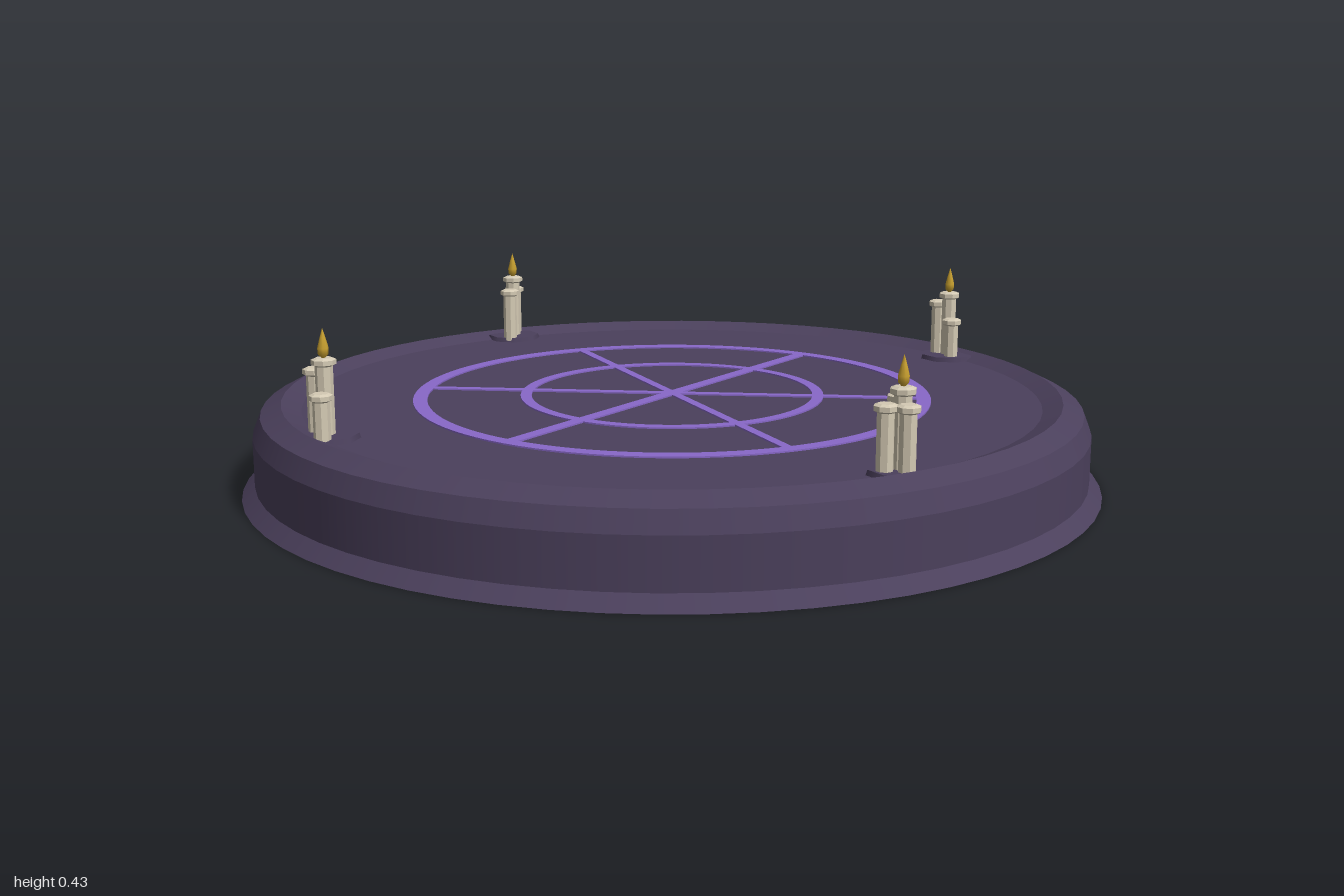
import * as THREE from 'three';

const FLOOR = 0.19;

const mat = (name, color, side = THREE.FrontSide) => {
  const m = new THREE.MeshStandardMaterial({ color, side });
  m.name = name;
  return m;
};

export function createModel() {
  const model = new THREE.Group();
  model.name = 'ritualDais';
  const stone = mat('dark purple stone', 0x4b405c, THREE.DoubleSide);
  const rune = mat('violet rune', 0x8868c8);
  const wax = mat('candle wax', 0xd4cab4);
  const fire = mat('golden flame', 0xc8a030);

  const add = (parent, name, geometry, material, x = 0, y = 0, z = 0) => {
    const mesh = new THREE.Mesh(geometry, material);
    mesh.name = name;
    mesh.position.set(x, y, z);
    parent.add(mesh);
    return mesh;
  };

  // Hollow dais, one lathe per band so the edges between them stay sharp
  const bands = {
    flaredFoot: [[1, 0], [0.97, 0.03]],
    outerWall: [[0.97, 0.03], [0.97, 0.14]],
    upperBevel: [[0.97, 0.14], [0.952, 0.185]],
    rim: [[0.952, 0.185], [0.905, 0.208]],
    innerSlope: [[0.905, 0.208], [0.86, FLOOR]],
    floor: [[0.86, FLOOR], [0, FLOOR]],
  };
  for (const [name, points] of Object.entries(bands)) {
    const profile = points.map(([r, y]) => new THREE.Vector2(r, y));
    add(model, name, new THREE.LatheGeometry(profile, 64), stone);
  }

  // Inlaid rune circles and spokes, showing through both faces of the floor
  const depth = 0.007;
  const ring = (name, outer, inner) => {
    const shape = new THREE.Shape().absarc(0, 0, outer, 0, Math.PI * 2);
    shape.holes.push(new THREE.Path().absarc(0, 0, inner, 0, Math.PI * 2, true));
    const geometry = new THREE.ExtrudeGeometry(shape, { depth, bevelEnabled: false, curveSegments: 48 });
    geometry.rotateX(-Math.PI / 2);
    add(model, name, geometry, rune, 0, FLOOR - depth / 2, 0);
  };
  ring('outerRuneRing', 0.608, 0.575);
  ring('innerRuneRing', 0.358, 0.332);
  for (let i = 0; i < 3; i++) {
    const geometry = new THREE.BoxGeometry(i ? 0.022 : 0.03, depth, 1.19);
    add(model, 'runeSpoke', geometry, rune, 0, FLOOR, 0).rotation.y = (i * Math.PI) / 3;
  }

  // Candle: a shaft with a wider melted lip
  const candle = (parent, name, x, z, top, r) => {
    const profile = [[0, FLOOR], [r, FLOOR], [r, top - 0.018], [r * 1.4, top - 0.014],
      [r * 1.4, top - 0.004], [r * 0.9, top], [0, top]].map(([a, y]) => new THREE.Vector2(a, y));
    const geometry = new THREE.LatheGeometry(profile, 8).toNonIndexed();
    geometry.computeVertexNormals();
    add(parent, name, geometry, wax, x, 0, z);
  };

  // Clusters: position, then each side candle as [x, z, top]
  const clusters = [
    [-0.785, -0.335, [[-0.025, -0.035, 0.33], [0.025, 0.042, 0.335]]],
    [-0.335, 0.785, [[-0.035, -0.005, 0.34], [0.033, 0.042, 0.3]]],
    [0.785, 0.33, [[-0.018, 0.035, 0.335], [0.022, 0.018, 0.335], [-0.018, -0.02, 0.345]]],
    [0.33, -0.785, [[-0.033, -0.005, 0.34], [0.022, 0.026, 0.3]]],
  ];
  for (const [x, z, sides] of clusters) {
    const cluster = new THREE.Group();
    cluster.name = 'candleCluster';
    cluster.position.set(x, 0, z);
    model.add(cluster);
    add(cluster, 'candleBase', new THREE.CylinderGeometry(0.068, 0.075, 0.022, 8), stone, 0, FLOOR, 0);
    candle(cluster, 'tallCandle', 0, 0, 0.365, 0.019);
    for (const [sx, sz, top] of sides) candle(cluster, 'shortCandle', sx, sz, top, 0.018);
    // Pointed flame
    const flame = [[0, 0.36], [0.011, 0.372], [0.012, 0.385], [0.006, 0.408], [0, 0.428]];
    add(cluster, 'flame', new THREE.LatheGeometry(flame.map(([a, y]) => new THREE.Vector2(a, y)), 8), fire);
  }
  return model;
}
